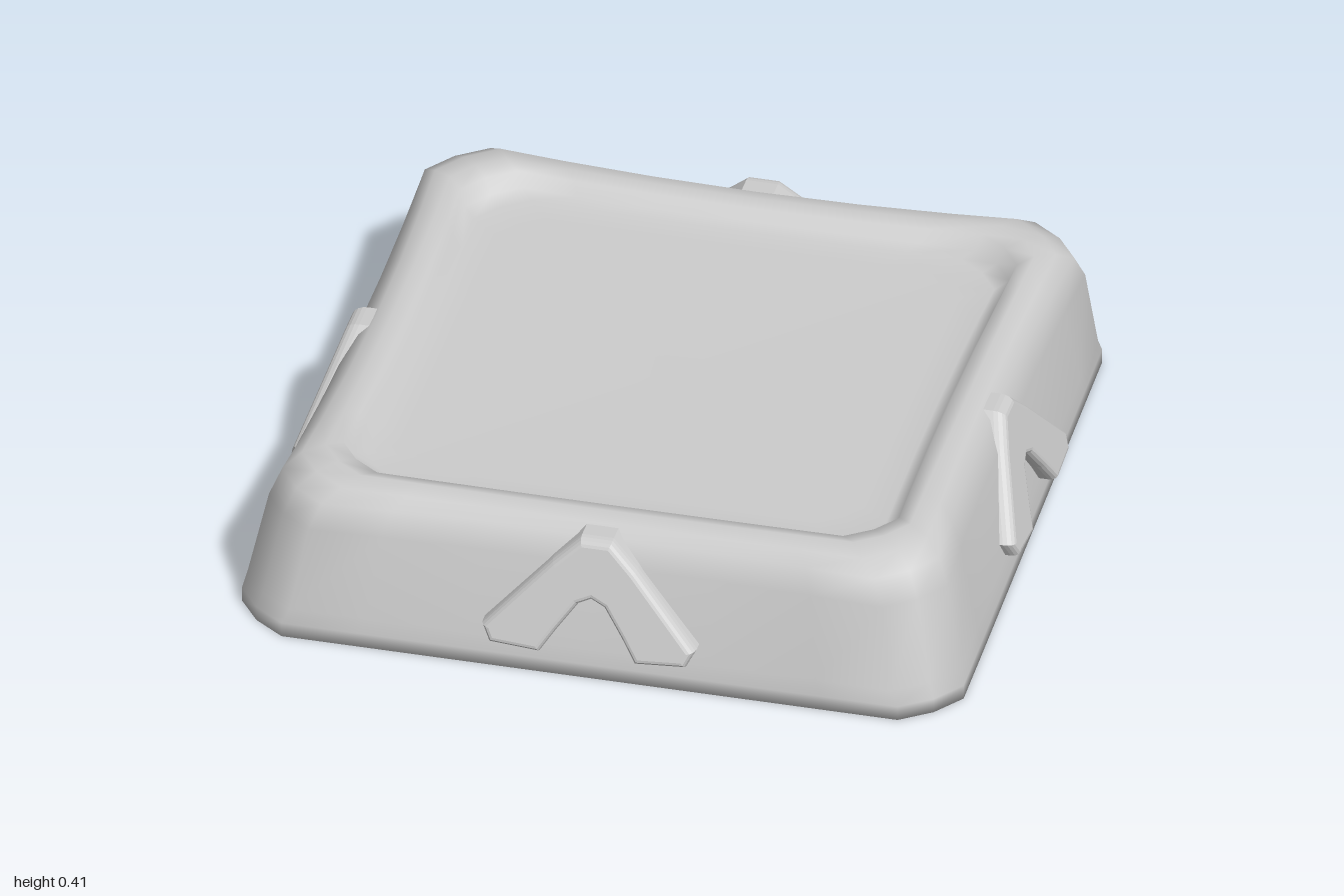
import * as THREE from 'three';

const stone = new THREE.MeshStandardMaterial({ color: 0xcccccc });
stone.name = 'grey stone';

// Square outline with cut corners; sides bow inward by "pinch", back narrows by "taper"
function outline({ y, h, c = 0, pinch = 0, taper = 0, dip = 0 }) {
  const points = [];
  const e = h - c;
  for (let side = 0; side < 4; side++) {
    for (const t of [-1, -0.75, -0.4, 0, 0.4, 0.75, 1, 2]) {
      const mid = t === 2 ? 0 : 1 - t * t;
      let x = t === 2 ? h - c * 0.42 : e * t;
      let z = t === 2 ? h - c * 0.42 : h - pinch * mid;
      for (let k = 0; k < side; k++) [x, z] = [z, -x];
      x *= 1 - taper * Math.max(0, 0.8 - z);
      points.push([x, y - dip * mid, z]);
    }
  }
  return points;
}

function loft(loops) {
  const n = loops[0].length;
  const index = [];
  for (let j = 0; j < loops.length - 1; j++) {
    for (let i = 0; i < n; i++) {
      const a = j * n + i, b = j * n + (i + 1) % n;
      index.push(a, b, b + n, a, b + n, a + n);
    }
  }
  const g = new THREE.BufferGeometry();
  g.setAttribute('position', new THREE.Float32BufferAttribute(loops.flat(2), 3));
  g.setIndex(index);
  g.computeVertexNormals();
  return g;
}

// Slab: underside, sloping sides, worn rim and sunken top
function makeSlab() {
  const sections = [
    { y: 0, h: 0 },
    { y: 0, h: 0.92, c: 0.13, taper: 0.028 },
    { y: 0, h: 0.957, c: 0.14, taper: 0.028 },
    { y: 0.04, h: 0.957, c: 0.14, taper: 0.028 },
    { y: 0.08, h: 0.947, c: 0.15, pinch: 0.005, taper: 0.026 },
    { y: 0.3, h: 0.9, c: 0.14, pinch: 0.02, taper: 0.012 },
    { y: 0.365, h: 0.872, c: 0.14, pinch: 0.03, taper: 0.008, dip: 0.005 },
    { y: 0.395, h: 0.83, c: 0.14, pinch: 0.02, taper: 0.005, dip: 0.012 },
    { y: 0.405, h: 0.775, c: 0.12, pinch: 0.01, dip: 0.012 },
    { y: 0.395, h: 0.738, c: 0.12, pinch: 0.012, dip: 0.01 },
    { y: 0.355, h: 0.722, c: 0.12, pinch: 0.012 },
    { y: 0.342, h: 0.69, c: 0.12, pinch: 0.01 },
    { y: 0.34, h: 0.6, c: 0.1 },
    { y: 0.34, h: 0 },
  ];
  const slab = new THREE.Mesh(loft(sections.map(outline)), stone);
  slab.name = 'slab';
  return slab;
}

// Raised chevron, leaning back with the sloping side
function makeChevron(reach) {
  const half = [[0.035, 0.36], [0.1, 0.3], [0.262, 0.128], [0.25, 0.105], [0.135, 0.098], [0.1, 0.15], [0.045, 0.225]];
  const shape = new THREE.Shape();
  half.forEach(([x, y], i) => (i ? shape.lineTo(x, y) : shape.moveTo(x, y)));
  shape.lineTo(0, 0.245);
  [...half].reverse().forEach(([x, y]) => shape.lineTo(-x, y));
  const bevel = 0.03;
  const g = new THREE.ExtrudeGeometry(shape, {
    depth: 0.05, bevelEnabled: true, bevelThickness: bevel, bevelSize: 0.018, bevelSegments: 4,
  });
  const p = g.attributes.position;
  for (let i = 0; i < p.count; i++) {
    p.setZ(i, p.getZ(i) - 0.05 - bevel + reach - 0.35 * (p.getY(i) - 0.08));
  }
  g.computeVertexNormals();
  return new THREE.Mesh(g, stone);
}

export function createModel() {
  const model = new THREE.Group();
  model.name = 'stone slab';
  model.add(makeSlab());
  ['frontChevron', 'leftChevron', 'backChevron', 'rightChevron'].forEach((name, i) => {
    const chevron = makeChevron(i % 2 ? 0.975 : 1.0);
    chevron.name = name;
    chevron.rotation.y = i * Math.PI / 2;
    model.add(chevron);
  });
  return model;
}
